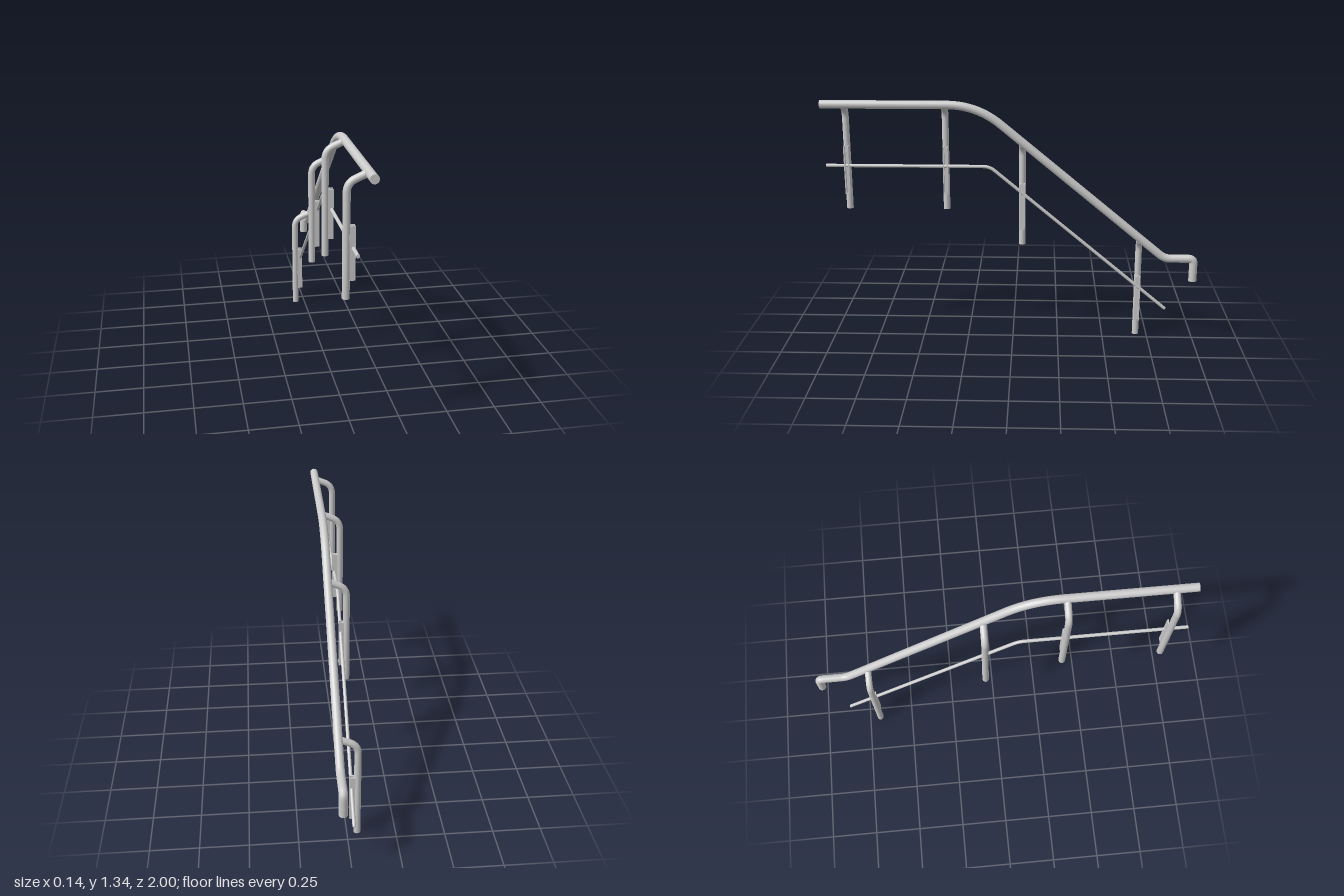
import * as THREE from 'three';

const material = new THREE.MeshStandardMaterial({ color: 0xcccccc });
const V = (x, y, z) => new THREE.Vector3(x, y, z);

// Capped round pipe through points; bends[i] is the tangent length of the curve at inner corner i.
function pipe(name, points, bends, radius, segments) {
  const path = new THREE.CurvePath();
  let from = points[0];
  for (let i = 1; i < points.length - 1; i++) {
    const p = points[i];
    const toward = (q) => p.clone().add(q.clone().sub(p).setLength(bends[i - 1]));
    const start = toward(points[i - 1]), end = toward(points[i + 1]);
    path.add(new THREE.LineCurve3(from, start));
    path.add(new THREE.QuadraticBezierCurve3(start, p, end));
    from = end;
  }
  path.add(new THREE.LineCurve3(from, points[points.length - 1]));

  const group = new THREE.Group();
  group.name = name;
  const tube = new THREE.Mesh(new THREE.TubeGeometry(path, segments, radius, 24), material);
  tube.name = name + 'Tube';
  group.add(tube);

  // Flat end caps facing outwards
  const n = points.length;
  [[points[0], points[1]], [points[n - 1], points[n - 2]]].forEach(([end, inner]) => {
    const cap = new THREE.Mesh(new THREE.CircleGeometry(radius, 24), material);
    cap.name = name + 'Cap';
    cap.position.copy(end);
    cap.quaternion.setFromUnitVectors(V(0, 0, 1), end.clone().sub(inner).normalize());
    group.add(cap);
  });
  return group;
}

// Upright U-shaped channel that holds the lower rod, open towards +x
function channel() {
  const s = new THREE.Shape();
  [[-0.04, -0.014], [-0.012, -0.014], [-0.012, -0.007], [-0.032, -0.007],
    [-0.032, 0.007], [-0.012, 0.007], [-0.012, 0.014], [-0.04, 0.014]]
    .forEach(([x, y], i) => (i ? s.lineTo(x, y) : s.moveTo(x, y)));
  const g = new THREE.ExtrudeGeometry(s, { depth: 0.26, bevelEnabled: false });
  g.rotateX(-Math.PI / 2);
  const mesh = new THREE.Mesh(g, material);
  mesh.name = 'rodBracket';
  return mesh;
}

export function createModel() {
  const model = new THREE.Group();
  model.name = 'stairHandrail';

  // Main handrail: level landing, slope, short level end and downturn
  const railX = 0.045;
  model.add(pipe('handrail', [
    V(railX, 1.32, 1), V(railX, 1.32, 0.185), V(railX, 0.487, -0.82),
    V(railX, 0.487, -0.977), V(railX, 0.36, -0.977),
  ], [0.16, 0.035, 0.025], 0.022, 220));

  // Thin lower rod
  const rodX = -0.022;
  model.add(pipe('lowerRod', [
    V(rodX, 0.975, 1), V(rodX, 0.975, 0.125), V(rodX, 0.165, -0.845),
  ], [0.035], 0.009, 140));

  // Posts with curved arms: [z, foot height, bracket bottom]
  [[0.89, 0.73, 0.82], [0.36, 0.73, 0.82], [-0.05, 0.53, 0.62], [-0.69, 0, 0.095]]
    .forEach(([z, foot, low]) => {
      const post = new THREE.Group();
      post.name = 'post';
      post.add(pipe('postPipe', [
        V(-0.053, foot, z), V(-0.053, foot + 0.546, z), V(0.038, foot + 0.585, z),
      ], [0.045], 0.018, 60));
      const bracket = channel();
      bracket.position.set(0, low, z);
      post.add(bracket);
      model.add(post);
    });

  return model;
}
